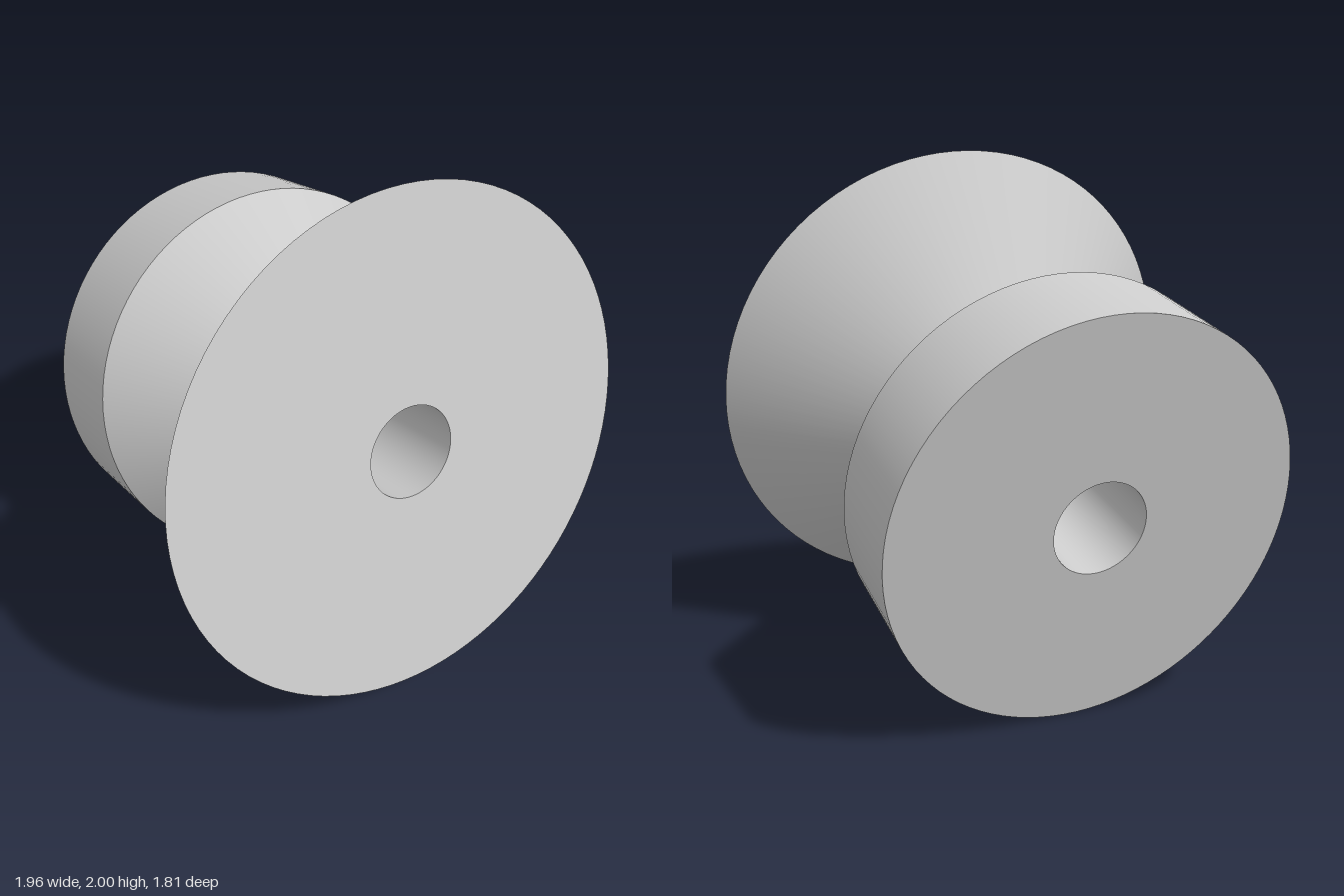
import * as THREE from 'three';

const SEGMENTS = 96;

export function createModel() {
  const group = new THREE.Group();
  group.name = 'spool';
  const material = new THREE.MeshStandardMaterial({ color: 0xcccccc });

  // Radii and stations along the axis, from the wide front face to the back face
  const bore = 0.176, wide = 0.962, waist = 0.41, drum = 0.768;
  const waistAt = 0.515, drumAt = 0.935, length = 1.336;

  // One band per profile edge keeps the rims sharp and the sides smooth
  const bands = [
    ['frontFace', bore, 0, wide, 0],
    ['frontCone', wide, 0, waist, waistAt],
    ['backCone', waist, waistAt, drum, drumAt],
    ['backDrum', drum, drumAt, drum, length],
    ['backFace', drum, length, bore, length],
    ['axleBore', bore, length, bore, 0],
  ];
  for (const [name, r0, y0, r1, y1] of bands) {
    const profile = [new THREE.Vector2(r0, y0), new THREE.Vector2(r1, y1)];
    const mesh = new THREE.Mesh(new THREE.LatheGeometry(profile, SEGMENTS), material);
    mesh.name = name;
    group.add(mesh);
  }

  // Tilt the axis: it runs backwards, down and to the model's left
  const axis = new THREE.Vector3(0.202, -0.236, -0.951).normalize();
  group.quaternion.setFromUnitVectors(new THREE.Vector3(0, 1, 0), axis);
  group.position.set(-0.039, 1.065, 0.606);

  const model = new THREE.Group();
  model.name = 'tiltedSpool';
  model.add(group);
  return model;
}
